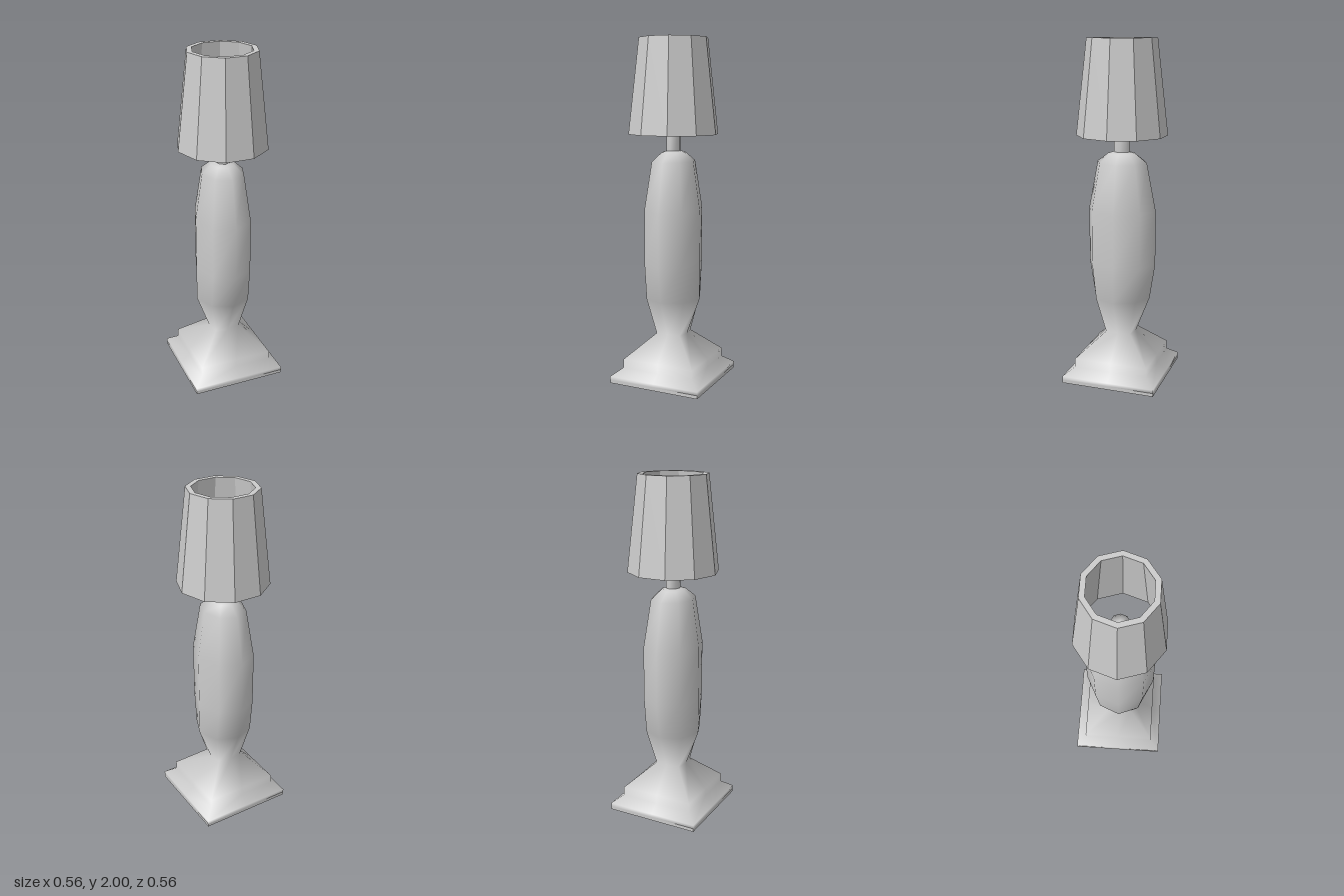
import * as THREE from 'three';

const material = new THREE.MeshStandardMaterial({ color: 0xcccccc });

// Smooth eight-sided loft. Each section: y, half-width x, half-width z,
// and how far the diagonal points reach (1 = square, 0.707 = ellipse).
function loft(sections, capTop) {
  const positions = [], index = [];
  for (const [y, rx, rz, k] of sections) {
    for (let i = 0; i < 8; i++) {
      const a = (i * Math.PI) / 4;
      const d = i % 2 ? k / Math.SQRT1_2 : 1;
      positions.push(rx * Math.cos(a) * d, y, rz * Math.sin(a) * d);
    }
  }
  for (let r = 0; r < sections.length - 1; r++) {
    for (let i = 0; i < 8; i++) {
      const a = r * 8 + i, b = r * 8 + ((i + 1) % 8), c = a + 8, d = b + 8;
      index.push(a, c, b, b, c, d);
    }
  }
  if (capTop) {
    const start = (sections.length - 1) * 8, centre = positions.length / 3;
    positions.push(0, sections[sections.length - 1][0], 0);
    for (let i = 0; i < 8; i++) index.push(start + i, centre, start + ((i + 1) % 8));
  }
  const geometry = new THREE.BufferGeometry();
  geometry.setAttribute('position', new THREE.Float32BufferAttribute(positions, 3));
  geometry.setIndex(index);
  geometry.computeVertexNormals();
  return geometry;
}

export function createModel() {
  const group = new THREE.Group();
  const add = (name, geometry, mat = material) => {
    const mesh = new THREE.Mesh(geometry, mat);
    mesh.name = name;
    group.add(mesh);
    return mesh;
  };
  const round = Math.SQRT1_2;

  // Square foot, stepped plinth, neck, swelling body and shoulder
  add('baseAndBody', loft([
    [0.02, 0.28, 0.28, 1],
    [0.04, 0.28, 0.28, 1],
    [0.085, 0.222, 0.222, 1],
    [0.135, 0.222, 0.222, 1],
    [0.275, 0.088, 0.088, 0.86],
    [0.49, 0.167, 0.172, round],
    [0.70, 0.167, 0.205, round],
    [1.02, 0.167, 0.205, round],
    [1.30, 0.125, 0.15, round],
    [1.35, 0.07, 0.084, round],
    [1.36, 0.04, 0.049, round],
  ], false));

  // Thin plate under the foot
  const plate = add('footPlate', new THREE.BoxGeometry(0.56, 0.02, 0.56));
  plate.position.y = 0.01;

  // Stem that rises into the shade
  add('stem', loft([
    [1.35, 0.04, 0.049, round],
    [1.62, 0.04, 0.049, round],
  ], true));

  // Ten-sided hollow shade with a thick wall
  const wall = [
    [0.233, 1.455], [0.263, 1.455], [0.2, 2], [0.17, 2], [0.233, 1.455],
  ].map(([r, y]) => new THREE.Vector2(r, y));
  const shadeMaterial = new THREE.MeshStandardMaterial({ color: 0xcccccc, flatShading: true });
  const shade = add('shade', new THREE.LatheGeometry(wall, 10), shadeMaterial);
  shade.rotation.y = Math.PI / 2;

  return group;
}
